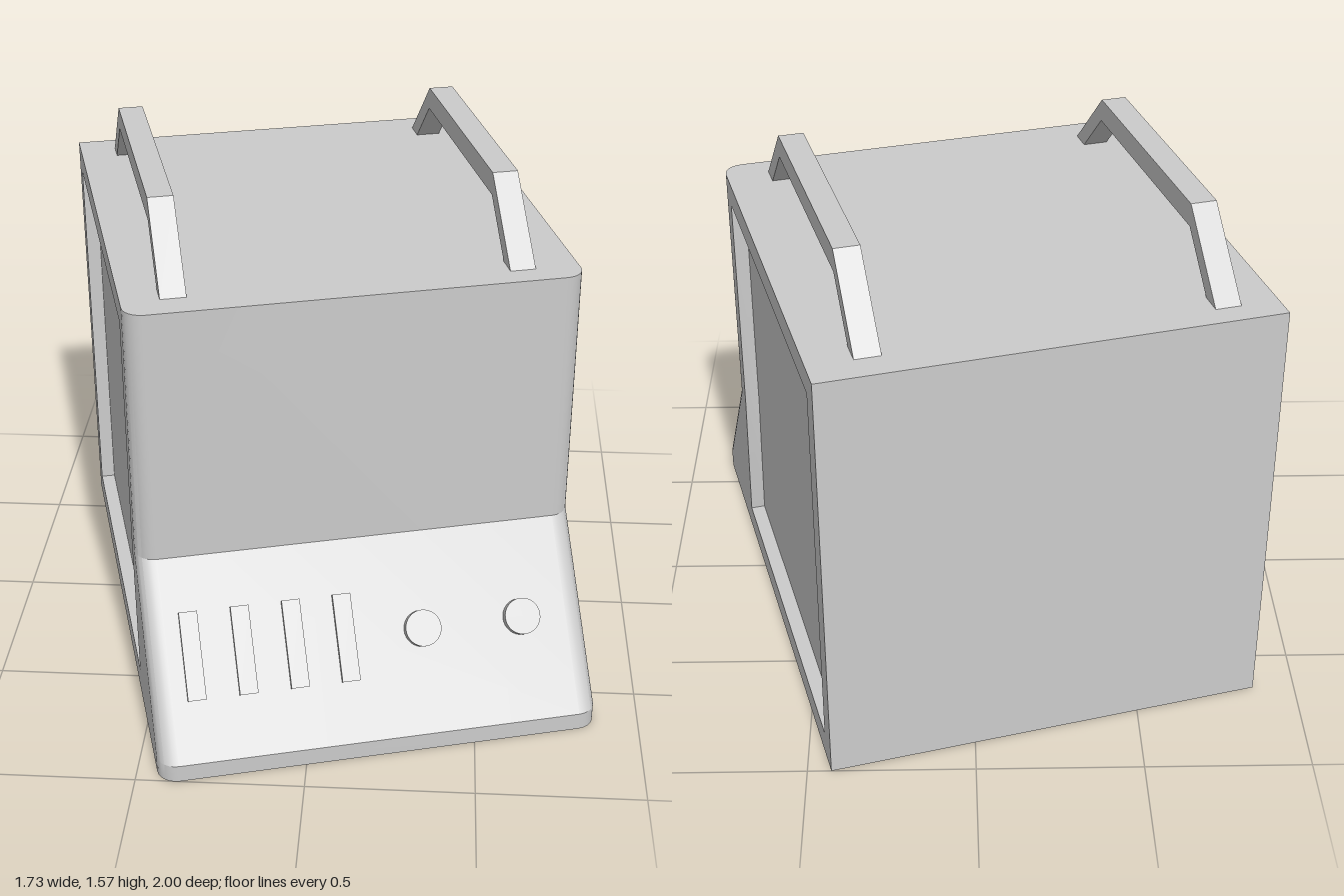
import * as THREE from 'three';
import { toCreasedNormals } from 'three/addons/utils/BufferGeometryUtils.js';

const W = 0.673, BACK = -0.855, TOP = 1.35, R = 0.06; // half width, rear face, height, front corner radius
const LOW = { z: 0.87, y: 0.055 }, HIGH = { z: 0.5, y: 0.54 }; // ends of the sloping control panel
const RECESS = 0.045;

const grey = new THREE.MeshStandardMaterial({ color: 0xcccccc });
const greyDouble = new THREE.MeshStandardMaterial({ color: 0xcccccc, side: THREE.DoubleSide });

function mesh(name, geometry, material = grey) {
  const m = new THREE.Mesh(geometry, material);
  m.name = name;
  return m;
}

// Joins closed rings of points bottom to top, leaving out the skipped segments
function loft(rings, { skip = [], caps = false } = {}) {
  const pos = [];
  const tri = (...ps) => ps.forEach((p) => pos.push(p.x, p.y, p.z));
  const n = rings[0].length;
  for (let k = 0; k < rings.length - 1; k++) {
    for (let i = 0; i < n; i++) {
      if (skip.includes(i)) continue;
      const j = (i + 1) % n, a = rings[k], b = rings[k + 1];
      tri(a[i], a[j], b[j]);
      tri(a[i], b[j], b[i]);
    }
  }
  if (caps) {
    const a = rings[0], b = rings[rings.length - 1];
    for (let i = 1; i < n - 1; i++) {
      tri(a[0], a[i + 1], a[i]);
      tri(b[0], b[i], b[i + 1]);
    }
  }
  const g = new THREE.BufferGeometry();
  g.setAttribute('position', new THREE.Float32BufferAttribute(pos, 3));
  return toCreasedNormals(g, 0.5);
}

// Plan outline at one height: rounded at the two front corners
function planRing(y, front) {
  const pts = [], steps = 6;
  for (const side of [1, -1]) {
    for (let i = 0; i <= steps; i++) {
      const t = ((side > 0 ? i : steps - i) / steps) * Math.PI / 2;
      pts.push(new THREE.Vector3(side * (W - R + R * Math.cos(t)), y, front - R + R * Math.sin(t)));
    }
  }
  pts.push(new THREE.Vector3(-W, y, BACK), new THREE.Vector3(W, y, BACK));
  return pts.reverse();
}

function buildShell() {
  const rings = [[0, LOW.z], [LOW.y, LOW.z], [HIGH.y, HIGH.z], [TOP, HIGH.z]].map(([y, f]) => planRing(y, f));
  // The flat sides are left open for the recessed side panels
  const n = rings[0].length;
  const skip = [];
  for (let i = 0; i < n; i++) {
    const a = rings[0][i], b = rings[0][(i + 1) % n];
    if (a.x === b.x && Math.abs(a.z - b.z) > 0.5) skip.push(i);
  }
  // Rings run clockwise from above after reversing, so flip them to face outward
  const ordered = rings.map((r) => r.slice().reverse());
  const flipped = skip.map((i) => (2 * n - 2 - i) % n);
  return mesh('shell', loft(ordered, { skip: flipped, caps: true }), greyDouble);
}

// Side wall with a sunken panel; side is +1 for the left, -1 for the right
function buildSide(side) {
  const group = new THREE.Group();
  group.name = side > 0 ? 'leftSide' : 'rightSide';
  const toShape = (pts) => pts.map(([z, y]) => new THREE.Vector2(-side * z, y));
  const outline = toShape([
    [BACK, 0], [LOW.z - R, 0], [LOW.z - R, LOW.y], [HIGH.z - R, HIGH.y], [HIGH.z - R, TOP], [BACK, TOP],
  ]);
  const panel = toShape([[-0.777, 0.08], [0.413, 0.08], [0.372, 0.54], [0.372, 1.275], [-0.777, 1.275]]);

  const wall = new THREE.Shape(outline);
  wall.holes.push(new THREE.Path(panel));
  const depthRing = (d) => panel.map((p) => new THREE.Vector3(p.x, p.y, d));
  group.add(
    mesh('sideWall', new THREE.ShapeGeometry(wall)),
    mesh('recessedPanel', new THREE.ShapeGeometry(new THREE.Shape(panel)).translate(0, 0, -RECESS)),
    mesh('recessRim', loft([depthRing(-RECESS), depthRing(0)]), greyDouble),
  );
  group.rotation.y = side * Math.PI / 2;
  group.position.x = side * W;
  return group;
}

// Angular carrying handle running front to back
function buildHandle(name, x, dz) {
  const front = 0.417, back = -0.774, rise = 0.22, bar = 0.07, foot = 0.07;
  const inner = rise - bar;
  const shape = new THREE.Shape([
    [front, 0], [front - rise, rise], [back + rise, rise], [back, 0],
    [back + foot, 0], [back + foot + inner, inner], [front - foot - inner, inner], [front - foot, 0],
  ].map(([z, y]) => new THREE.Vector2(-z, y)));
  const width = 0.077;
  const g = new THREE.ExtrudeGeometry(shape, { depth: width, bevelEnabled: false });
  g.translate(0, 0, -width / 2).rotateY(Math.PI / 2);
  const handle = mesh(name, g);
  handle.position.set(x, TOP, dz);
  return handle;
}

// Keys and knobs, laid out in a frame whose z axis leaves the sloping panel
function buildControls() {
  const group = new THREE.Group();
  group.name = 'controls';
  const y = 0.305;
  const t = (y - LOW.y) / (HIGH.y - LOW.y);
  group.position.set(0, y, THREE.MathUtils.lerp(LOW.z, HIGH.z, t));
  group.rotation.x = -Math.atan2(LOW.z - HIGH.z, HIGH.y - LOW.y);
  for (let i = 0; i < 4; i++) {
    const key = mesh('key', new THREE.BoxGeometry(0.055, 0.262, 0.03));
    key.position.x = -0.54 + i * 0.155;
    group.add(key);
  }
  for (const x of [0.16, 0.47]) {
    const knob = mesh('knob', toCreasedNormals(new THREE.CylinderGeometry(0.055, 0.055, 0.06, 32), 0.5));
    knob.rotation.x = Math.PI / 2;
    knob.position.x = x;
    group.add(knob);
  }
  return group;
}

export function createModel() {
  const model = new THREE.Group();
  model.name = 'machine';
  const body = new THREE.Group();
  body.name = 'body';
  body.rotation.y = THREE.MathUtils.degToRad(15); // stands turned on its base
  body.add(
    buildShell(),
    buildSide(1),
    buildSide(-1),
    buildHandle('leftHandle', 0.502, 0.008),
    buildHandle('rightHandle', -0.521, -0.008),
    buildControls(),
  );
  model.add(body);
  return model;
}
